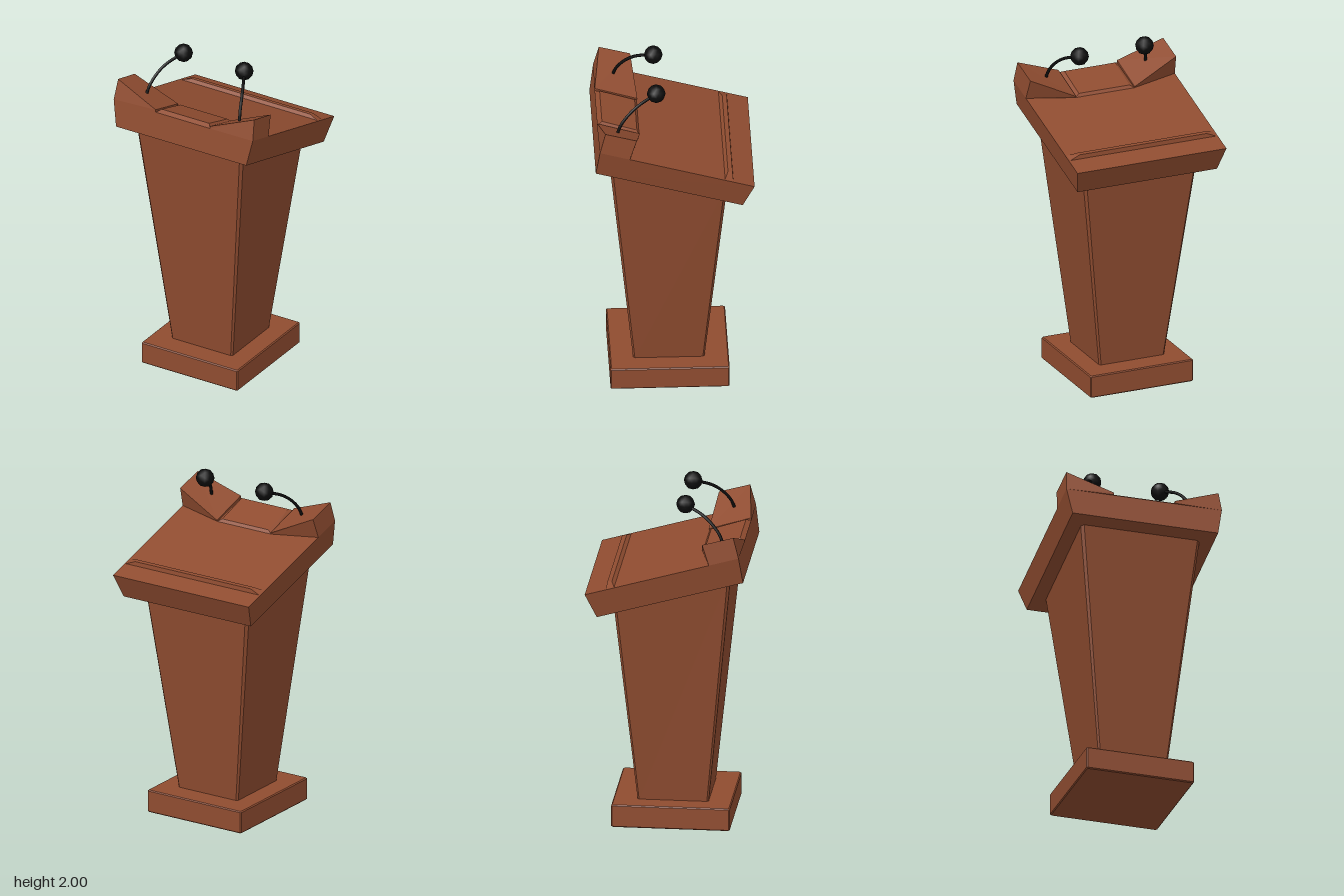
import * as THREE from 'three';

const wood = new THREE.MeshStandardMaterial({ color: 0x8f4c30 });
wood.name = 'wood';
const black = new THREE.MeshStandardMaterial({ color: 0x0c0c0c });
black.name = 'black';

// Skin a stack of rings (counter-clockwise from above, bottom to top) with flat faces and caps
function loft(name, rings) {
  const pos = [];
  const tri = (...pts) => pts.forEach((p) => pos.push(...p));
  const n = rings[0].length;
  for (let r = 0; r < rings.length - 1; r++) {
    for (let i = 0; i < n; i++) {
      const j = (i + 1) % n;
      const a = rings[r][i], b = rings[r][j], c = rings[r + 1][j], d = rings[r + 1][i];
      tri(a, b, c);
      tri(a, c, d);
    }
  }
  const low = rings[0], high = rings[rings.length - 1];
  for (let i = 1; i < n - 1; i++) {
    tri(low[0], low[i + 1], low[i]);
    tri(high[0], high[i], high[i + 1]);
  }
  const geo = new THREE.BufferGeometry();
  geo.setAttribute('position', new THREE.Float32BufferAttribute(pos, 3));
  geo.computeVertexNormals();
  const mesh = new THREE.Mesh(geo, wood);
  mesh.name = name;
  return mesh;
}

// Four-cornered ring: half width, then front and back z with their heights
const quad = (x, zf, yf, zb, yb) => [[x, yf, zf], [x, yb, zb], [-x, yb, zb], [-x, yf, zf]];

// Same ring with its corners cut off by c
function cutQuad(x, zf, yf, zb, yb, c) {
  const s = ((yf - yb) / (zf - zb)) * c;
  return [
    [x - c, yf, zf], [x, yf - s, zf - c], [x, yb + s, zb + c], [x - c, yb, zb],
    [c - x, yb, zb], [-x, yb + s, zb + c], [-x, yf - s, zf - c], [c - x, yf, zf],
  ];
}

// Height of the sloping reading surface at depth z
const deskY = (z) => 1.465 + 0.286 * (z + 0.455);

export function createModel() {
  const group = new THREE.Group();
  group.name = 'lectern';

  // Plinth with a fine bevelled rim
  const plinth = (inset, y) => cutQuad(0.325 - inset, 0.365 - inset, y, -0.32 + inset, y, 0.006);
  group.add(loft('plinth', [plinth(0.006, 0), plinth(0, 0.006), plinth(0, 0.129), plinth(0.006, 0.135)]));

  // Flared column, cut to the slope of the desk
  group.add(loft('column', [
    cutQuad(0.205, 0.23, 0.13, -0.18, 0.13, 0.01),
    cutQuad(0.36, 0.372, 1.55, -0.302, 1.357, 0.016),
  ]));

  // Sloping desk, narrower underneath
  group.add(loft('desk', [
    quad(0.44, 0.455, 1.56, -0.39, 1.32),
    quad(0.47, 0.432, deskY(0.432), -0.457, deskY(-0.457)),
  ]));

  // Ledge that holds the papers
  group.add(loft('paperLedge', [
    quad(0.46, -0.288, deskY(-0.288), -0.336, deskY(-0.336)),
    quad(0.4, -0.307, deskY(-0.307) + 0.02, -0.333, deskY(-0.333) + 0.024),
  ]));

  // Shallow bevelled panel between the wings
  group.add(loft('centrePanel', [
    quad(0.185, 0.436, deskY(0.436), 0.195, deskY(0.195)),
    quad(0.16, 0.408, deskY(0.408) + 0.022, 0.207, deskY(0.207) + 0.014),
  ]));

  for (const side of [1, -1]) {
    const label = side > 0 ? 'left' : 'right';

    // Raised wing, tallest at the outer edge
    const flip = (ring) => (side > 0 ? ring : ring.map(([x, y, z]) => [-x, y, z]).reverse());
    group.add(loft(label + 'Wing', [
      flip([
        [0.47, deskY(0.432), 0.432], [0.47, deskY(0.26), 0.26],
        [0.185, deskY(0.195), 0.195], [0.185, deskY(0.437), 0.437],
      ]),
      flip([
        [0.46, 1.84, 0.4], [0.46, 1.79, 0.22],
        [0.185, deskY(0.19) + 0.01, 0.19], [0.185, 1.735, 0.435],
      ]),
    ]));

    // Gooseneck microphone
    const mic = new THREE.Group();
    mic.name = label + 'Microphone';
    const path = new THREE.CatmullRomCurve3([
      [0.314, 1.75, 0.325], [0.305, 1.8, 0.305], [0.283, 1.866, 0.25], [0.255, 1.908, 0.19], [0.21, 1.94, 0.105],
    ].map(([x, y, z]) => new THREE.Vector3(side * x, y, z)));
    const neck = new THREE.Mesh(new THREE.TubeGeometry(path, 14, 0.009, 8), black);
    neck.name = 'neck';
    const head = new THREE.Mesh(new THREE.IcosahedronGeometry(0.054, 1), black);
    head.name = 'head';
    head.position.set(side * 0.205, 1.945, 0.098);
    mic.add(neck, head);
    group.add(mic);
  }
  return group;
}
